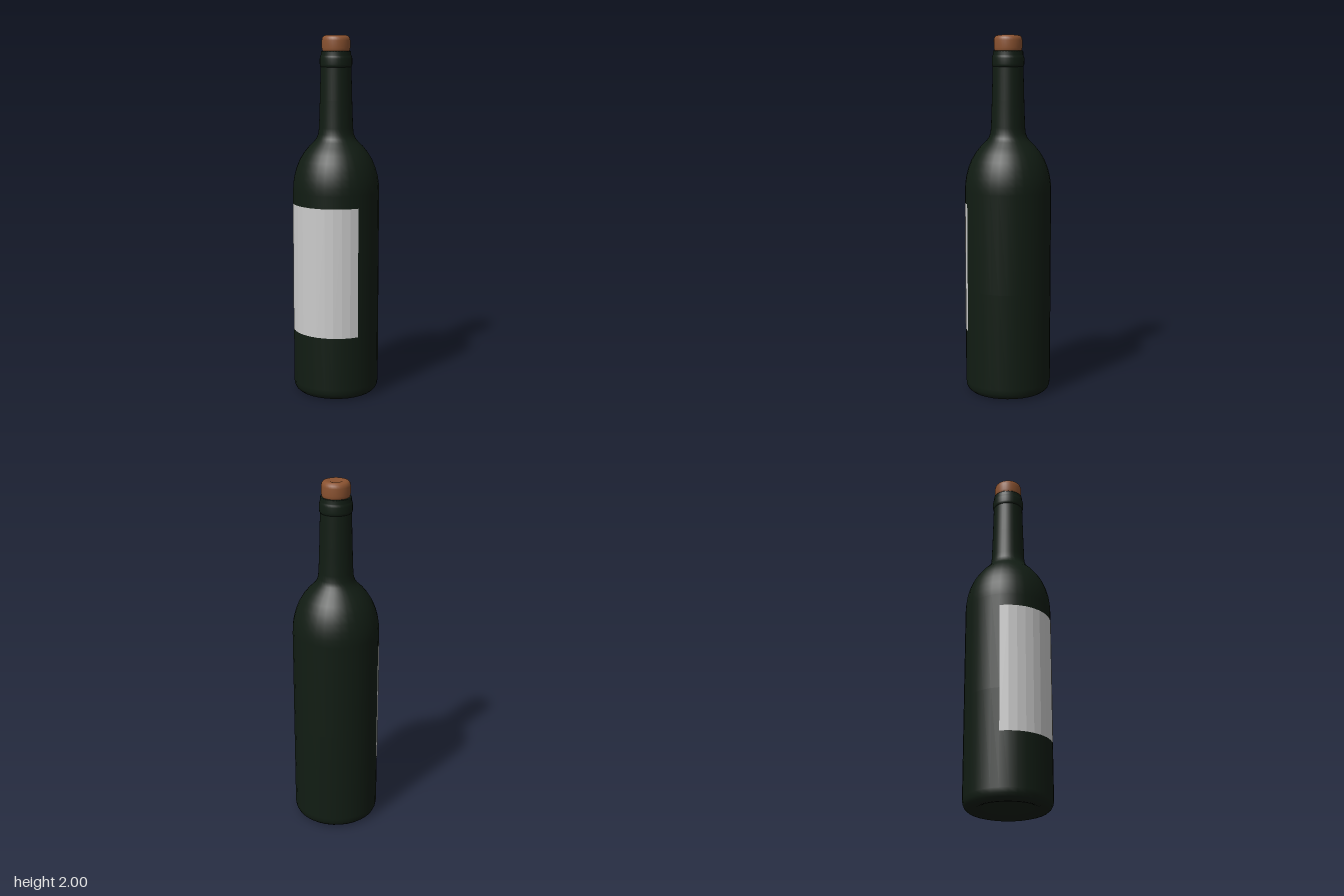
import * as THREE from 'three';

const SIDES = 32;

// Smooth surface of revolution from [radius, height] pairs, bottom to top
function turned(name, profile, color) {
  const points = profile.map(([r, y]) => new THREE.Vector2(r, y));
  const material = new THREE.MeshStandardMaterial({ color });
  const mesh = new THREE.Mesh(new THREE.LatheGeometry(points, SIDES), material);
  mesh.name = name;
  return mesh;
}

export function createModel() {
  const group = new THREE.Group();
  group.name = 'bottle';
  const glass = 0x111c13;

  // Glass body: punt, rounded foot, straight wall, shoulder and neck
  group.add(turned('glassBody', [
    [0, 0.1], [0.035, 0.094], [0.07, 0.075], [0.11, 0.04], [0.15, 0.015], [0.18, 0.003],
    [0.2, 0], [0.215, 0.005], [0.229, 0.017], [0.237, 0.035], [0.24, 0.06],
    [0.24, 0.6], [0.24, 1.15], [0.238, 1.19], [0.232, 1.23], [0.22, 1.275],
    [0.202, 1.32], [0.178, 1.36], [0.15, 1.395], [0.122, 1.422], [0.107, 1.442],
    [0.098, 1.465], [0.094, 1.5], [0.089, 1.65], [0.084, 1.84],
  ], glass));

  // Collar ring and lip at the mouth
  group.add(turned('collar', [
    [0.078, 1.828], [0.084, 1.829], [0.088, 1.835], [0.089, 1.845], [0.089, 1.875],
    [0.086, 1.887], [0.083, 1.893], [0.083, 1.911], [0.081, 1.915], [0.068, 1.915],
  ], glass));

  // Stopper with rounded rims and a slightly dished top
  group.add(turned('cork', [
    [0, 1.9], [0.068, 1.9], [0.074, 1.915], [0.078, 1.932], [0.078, 1.972],
    [0.075, 1.986], [0.067, 1.996], [0.055, 2], [0.038, 1.999], [0.032, 1.996], [0, 1.996],
  ], 0x8a5230));

  // Label wrapped around the -x side, aligned with the facets of the glass
  const facets = 12;
  const sweep = facets * Math.PI * 2 / SIDES;
  const label = new THREE.Mesh(
    new THREE.CylinderGeometry(0.2415, 0.2415, 0.72, facets, 1, true, Math.PI * 1.5 - sweep / 2, sweep),
    new THREE.MeshStandardMaterial({ color: 0xcccccc, flatShading: true, side: THREE.DoubleSide })
  );
  label.name = 'label';
  label.position.y = 0.72;
  group.add(label);

  return group;
}
